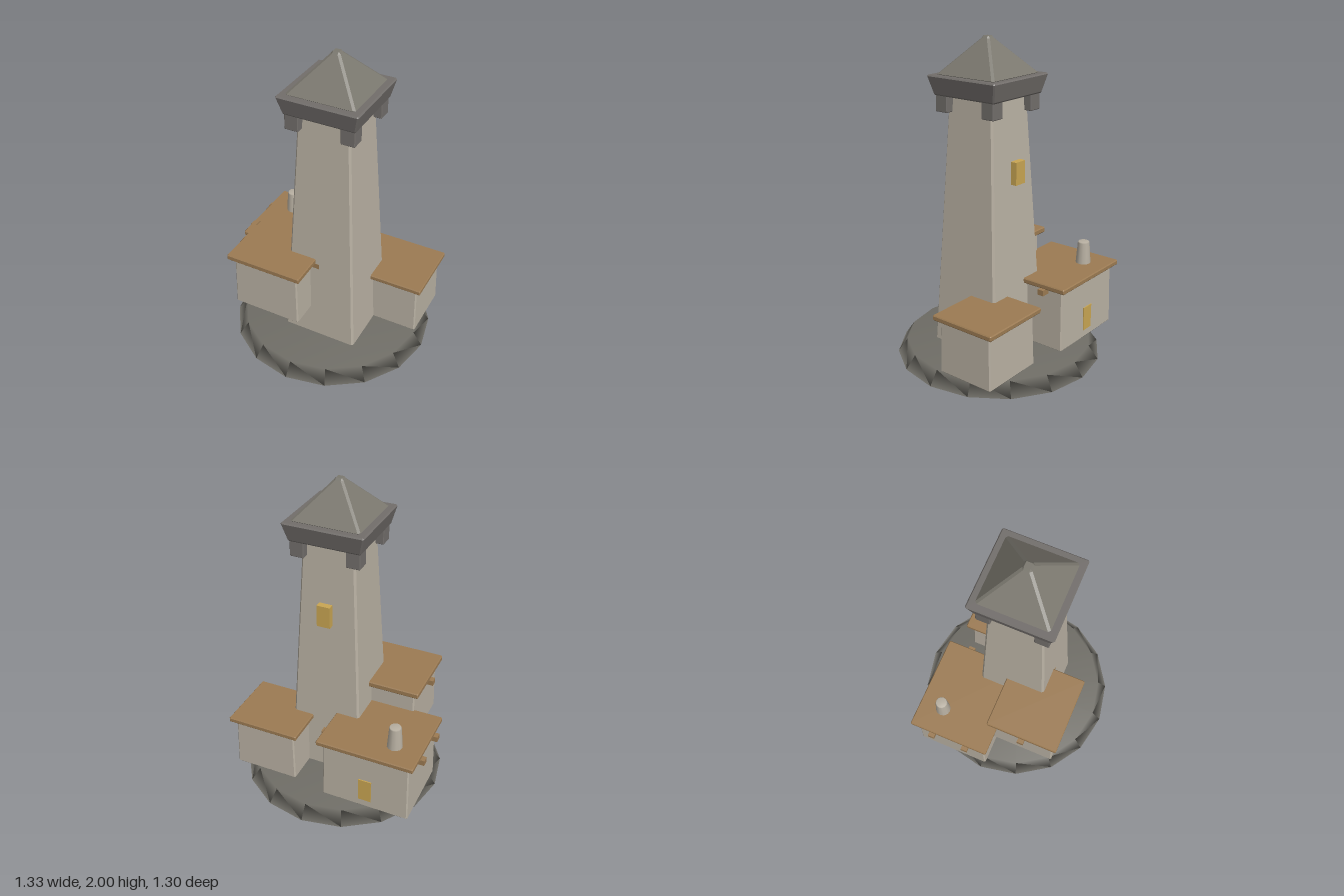
import * as THREE from 'three';

const paint = (name, color) => {
  const m = new THREE.MeshStandardMaterial({ color });
  m.name = name;
  return m;
};

// One eight-sided ring: a rectangle with cut corners, counter-clockwise from above
function ring(hw, hd, y, c) {
  return [
    [hw, hd - c], [hw, c - hd], [hw - c, -hd], [c - hw, -hd],
    [-hw, c - hd], [-hw, hd - c], [c - hw, hd], [hw - c, hd],
  ].map(([x, z]) => [x, y, z]);
}

// Tapered block with bevelled edges; bottom and top are half sizes [halfWidth, halfDepth]
function bevelBlock(bottom, top, y0, y1, b) {
  const i = b * 0.85, c = b * 0.2;
  const rings = [
    ring(bottom[0] - i, bottom[1] - i, y0, c),
    ring(bottom[0], bottom[1], y0 + b, b),
    ring(top[0], top[1], y1 - b, b),
    ring(top[0] - i, top[1] - i, y1, c),
  ];
  const pos = rings.flat(2), index = [], n = 8;
  for (let r = 0; r < 3; r++) {
    for (let k = 0; k < n; k++) {
      const a = r * n + k, d = r * n + (k + 1) % n;
      index.push(a, d, d + n, a, d + n, a + n);
    }
  }
  for (let k = 1; k < n - 1; k++) {
    index.push(0, k + 1, k, 3 * n, 3 * n + k, 3 * n + k + 1);
  }
  const g = new THREE.BufferGeometry();
  g.setAttribute('position', new THREE.Float32BufferAttribute(pos, 3));
  g.setIndex(index);
  const flat = g.toNonIndexed();
  flat.computeVertexNormals();
  return flat;
}

export function createModel() {
  const model = new THREE.Group();
  model.name = 'watchtower';
  const plaster = paint('plaster', 0xb8b0a2);
  const timber = paint('timber', 0x9c7b53);
  const rock = paint('rock', 0x6f6d66);
  const darkStone = paint('darkStone', 0x726e6b);
  const slate = paint('slate', 0x7b786f);
  const glow = paint('amber', 0xc9a653);

  const add = (name, geometry, material, x = 0, y = 0, z = 0) => {
    const mesh = new THREE.Mesh(geometry, material);
    mesh.name = name;
    mesh.position.set(x, y, z);
    model.add(mesh);
    return mesh;
  };
  const turned = (points, sides) =>
    new THREE.LatheGeometry(points.map(([x, y]) => new THREE.Vector2(x, y)), sides);

  // Faceted rock platform
  add('base', turned([[0, 0], [0.65, 0], [0.59, 0.085], [0, 0.085]], 16), rock, 0.01, 0, 0);

  // Tapered tower with its crown and roof
  const tx = 0.055, tz = 0.045;
  add('tower', bevelBlock([0.245, 0.245], [0.164, 0.164], 0.07, 1.68, 0.012), plaster, tx, 0, tz);
  add('crown', bevelBlock([0.228, 0.228], [0.254, 0.254], 1.66, 1.78, 0.008), darkStone, tx, 0, tz);
  add('towerRoof', bevelBlock([0.214, 0.214], [0.03, 0.03], 1.77, 2, 0.013), slate, tx, 0, tz);
  for (const sx of [-1, 1]) {
    for (const sz of [-1, 1]) {
      add('corbel', bevelBlock([0.044, 0.044], [0.044, 0.044], 1.563, 1.67, 0.004),
        darkStone, tx + sx * 0.176, 0, tz + sz * 0.174);
    }
  }

  // Flat-roofed houses: x and z ranges of the roof slab, wall foot, roof underside and top
  const houses = [
    { name: 'backRightHouse', x: [-0.64, -0.015], z: [-0.48, 0.055], y: [0.08, 0.484, 0.517], beams: [-0.325, -0.09] },
    { name: 'backLeftHouse', x: [0.147, 0.622], z: [-0.433, 0.004], y: [0.08, 0.42, 0.453], beams: [] },
    { name: 'frontHouse', x: [-0.487, 0.02], z: [0.002, 0.477], y: [0.287, 0.643, 0.68], beams: [0.242] },
  ];
  for (const h of houses) {
    const cx = (h.x[0] + h.x[1]) / 2, cz = (h.z[0] + h.z[1]) / 2;
    const hw = (h.x[1] - h.x[0]) / 2, hd = (h.z[1] - h.z[0]) / 2;
    const [foot, under, top] = h.y;
    add(h.name + 'Walls', bevelBlock([hw - 0.027, hd - 0.027], [hw - 0.035, hd - 0.035], foot, under + 0.015, 0.008),
      plaster, cx, 0, cz);
    add(h.name + 'Roof', bevelBlock([hw, hd], [hw, hd], under, top, 0.006), timber, cx, 0, cz);
    // Roof beams poking out at both ends
    for (const z of h.beams) {
      add(h.name + 'Beam', new THREE.BoxGeometry(2 * hw + 0.05, 0.036, 0.042), timber, cx, under - 0.016, z);
    }
  }

  // Chimney on the back right house
  add('chimney', turned([[0.049, 0.51], [0.038, 0.655], [0.034, 0.662], [0, 0.662]], 12), plaster, -0.467, 0, -0.322);

  // Lit window and door on the back
  add('window', new THREE.BoxGeometry(0.085, 0.14, 0.04), glow, tx, 1.22, -0.181);
  add('door', new THREE.BoxGeometry(0.085, 0.157, 0.04), glow, -0.33, 0.212, -0.436);

  return model;
}
